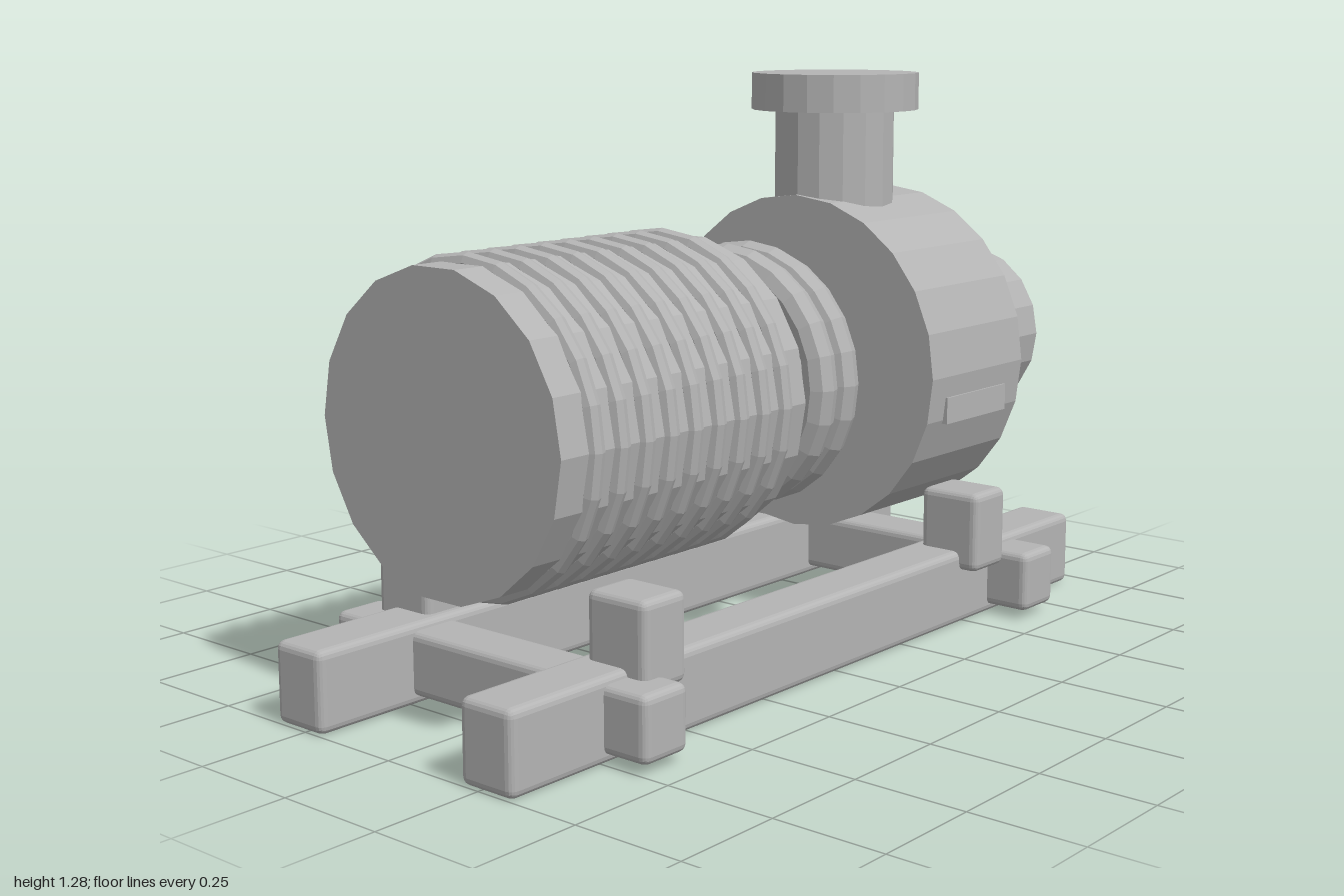
import * as THREE from 'three';
import { RoundedBoxGeometry } from 'three/addons/geometries/RoundedBoxGeometry.js';

const AXIS_Y = 0.616; // height of the common machine axis

export function createModel() {
  const model = new THREE.Group();
  model.name = 'pump';
  const castGrey = new THREE.MeshStandardMaterial({ color: 0xb4b4b4, flatShading: true });
  castGrey.name = 'castGrey';

  const add = (name, geometry, x, y, z) => {
    const mesh = new THREE.Mesh(geometry, castGrey);
    mesh.name = name;
    mesh.position.set(x, y, z);
    model.add(mesh);
    return mesh;
  };
  // Rounded bar given by its limits
  const bar = (name, x0, x1, y0, y1, z0, z1) =>
    add(name, new RoundedBoxGeometry(x1 - x0, y1 - y0, z1 - z0, 2, 0.018),
      (x0 + x1) / 2, (y0 + y1) / 2, (z0 + z1) / 2);
  // Cylinder lying along the machine axis
  const drum = (name, x0, x1, r, sides) =>
    add(name, new THREE.CylinderGeometry(r, r, x1 - x0, sides).rotateZ(-Math.PI / 2),
      (x0 + x1) / 2, AXIS_Y, 0);
  // Ring around the machine axis
  const ring = (name, x, r, tube, sides) =>
    add(name, new THREE.TorusGeometry(r, tube, 8, sides).rotateY(Math.PI / 2), x, AXIS_Y, 0);

  // Base frame: two rails, two cross beams and four mounting feet
  for (const s of [-1, 1]) {
    const z = s * 0.27;
    bar(s > 0 ? 'frontRail' : 'backRail', -1, 0.96, 0, 0.175, z - 0.07, z + 0.07);
    const fz = s * 0.307;
    for (const x of [-0.622, 0.527])
      bar('mountingFoot', x - 0.063, x + 0.063, 0.13, 0.317, fz - 0.078, fz + 0.078);
  }
  for (const x of [-0.69, 0.65])
    bar('crossBeam', x - 0.063, x + 0.063, 0.02, 0.16, -0.447, 0.447);

  // Motor with cooling fins
  drum('motorBody', -0.855, -0.122, 0.335, 18);
  for (let i = 0; i < 9; i++) ring('coolingFin', -0.762 + i * 0.0709, 0.332, 0.02, 24);

  // Shaft and coupling rings
  drum('shaft', -0.14, 0.215, 0.088, 10);
  for (const x of [0.025, 0.102]) ring('couplingRing', x, 0.262, 0.037, 24);

  // Pump casing, rounded front cover and suction pipe
  drum('pumpCasing', 0.268, 0.635, 0.39, 24);
  const coverProfile = [[0.305, 0], [0.305, 0.025], [0.29, 0.05], [0.25, 0.076], [0.19, 0.078]]
    .map(([r, h]) => new THREE.Vector2(r, h));
  add('casingCover', new THREE.LatheGeometry(coverProfile, 16).rotateZ(-Math.PI / 2), 0.634, AXIS_Y, 0);
  drum('suctionPipe', 0.62, 1, 0.207, 18);

  // Discharge neck and flange
  add('dischargeNeck', new THREE.CylinderGeometry(0.14, 0.14, 0.3, 16), 0.416, 1.05, 0);
  add('dischargeFlange', new THREE.CylinderGeometry(0.195, 0.195, 0.085, 20), 0.416, 1.24, 0);

  // Small plate on the casing side
  add('casingPlate', new THREE.BoxGeometry(0.24, 0.06, 0.03), 0.45, 0.537, 0.373);

  return model;
}
